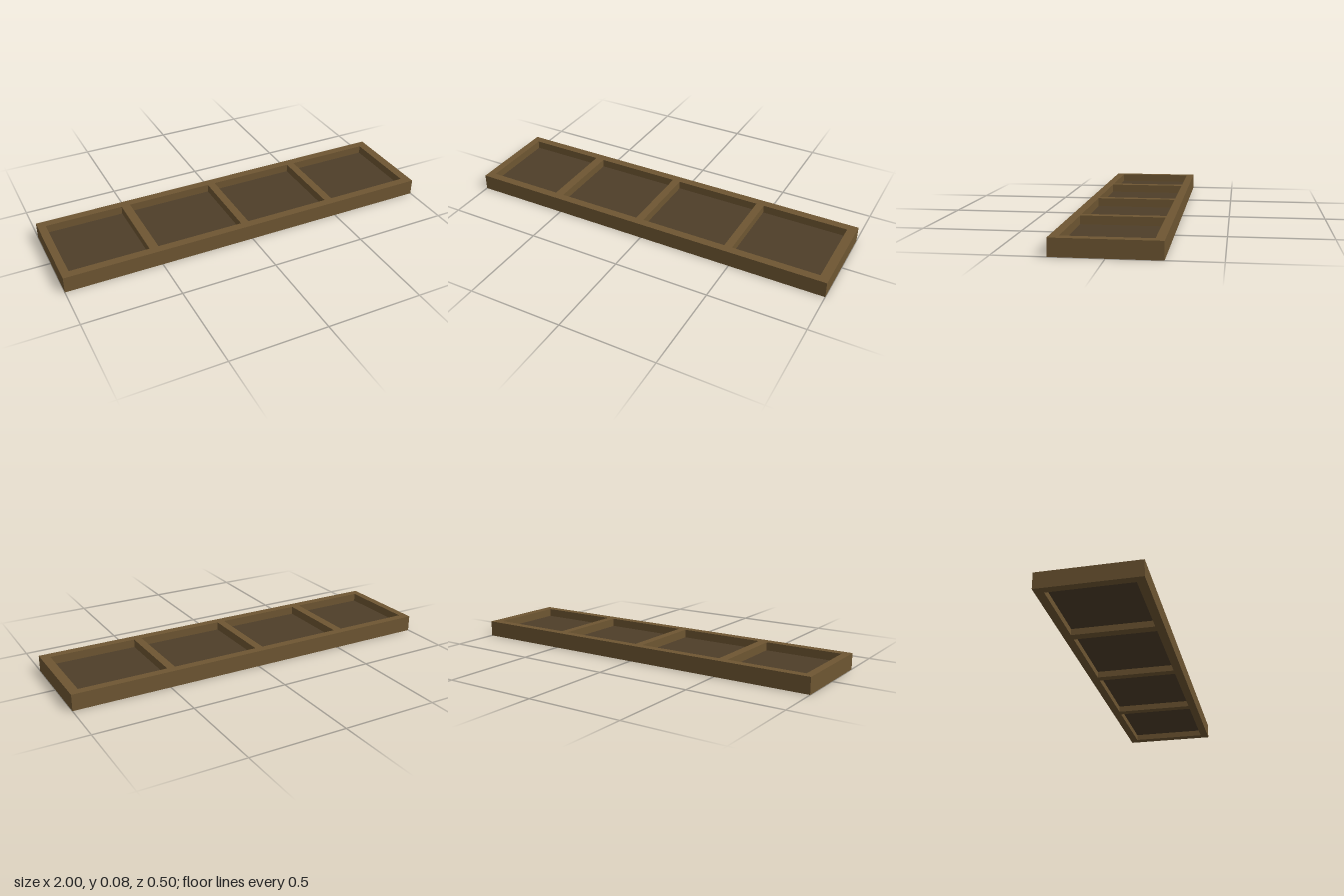
import * as THREE from 'three';

const HEIGHT = 0.084, HALF_X = 1, HALF_Z = 0.25, INNER_Z = 0.207;

// Counter-clockwise rectangle from two opposite corners
function rectangle(Type, x0, z0, x1, z1) {
  return new Type([[x0, z0], [x1, z0], [x1, z1], [x0, z1]].map(([x, z]) => new THREE.Vector2(x, z)));
}

export function createModel() {
  const model = new THREE.Group();
  model.name = 'panelledTray';
  const frameWood = new THREE.MeshStandardMaterial({ color: 0x6e5632 });
  const panelWood = new THREE.MeshStandardMaterial({ color: 0x4e3e29 });

  // Left and right ends of the four openings between the crossbars
  const openings = [[-0.96, -0.55], [-0.503, -0.047], [-0.005, 0.455], [0.497, 0.953]];

  // Frame: one slab with the openings cut through it
  const outline = rectangle(THREE.Shape, -HALF_X, -HALF_Z, HALF_X, HALF_Z);
  for (const [x0, x1] of openings) {
    outline.holes.push(rectangle(THREE.Path, x0, -INNER_Z, x1, INNER_Z));
  }
  const frameGeometry = new THREE.ExtrudeGeometry(outline, { depth: HEIGHT, bevelEnabled: false });
  frameGeometry.rotateX(-Math.PI / 2);
  const frame = new THREE.Mesh(frameGeometry, frameWood);
  frame.name = 'frame';
  model.add(frame);

  // Thin panels recessed from both the top and the underside
  openings.forEach(([x0, x1], i) => {
    const panel = new THREE.Mesh(new THREE.BoxGeometry(x1 - x0, 0.008, 2 * INNER_Z), panelWood);
    panel.position.set((x0 + x1) / 2, 0.037, 0);
    panel.name = `panel${i + 1}`;
    model.add(panel);
  });

  return model;
}
